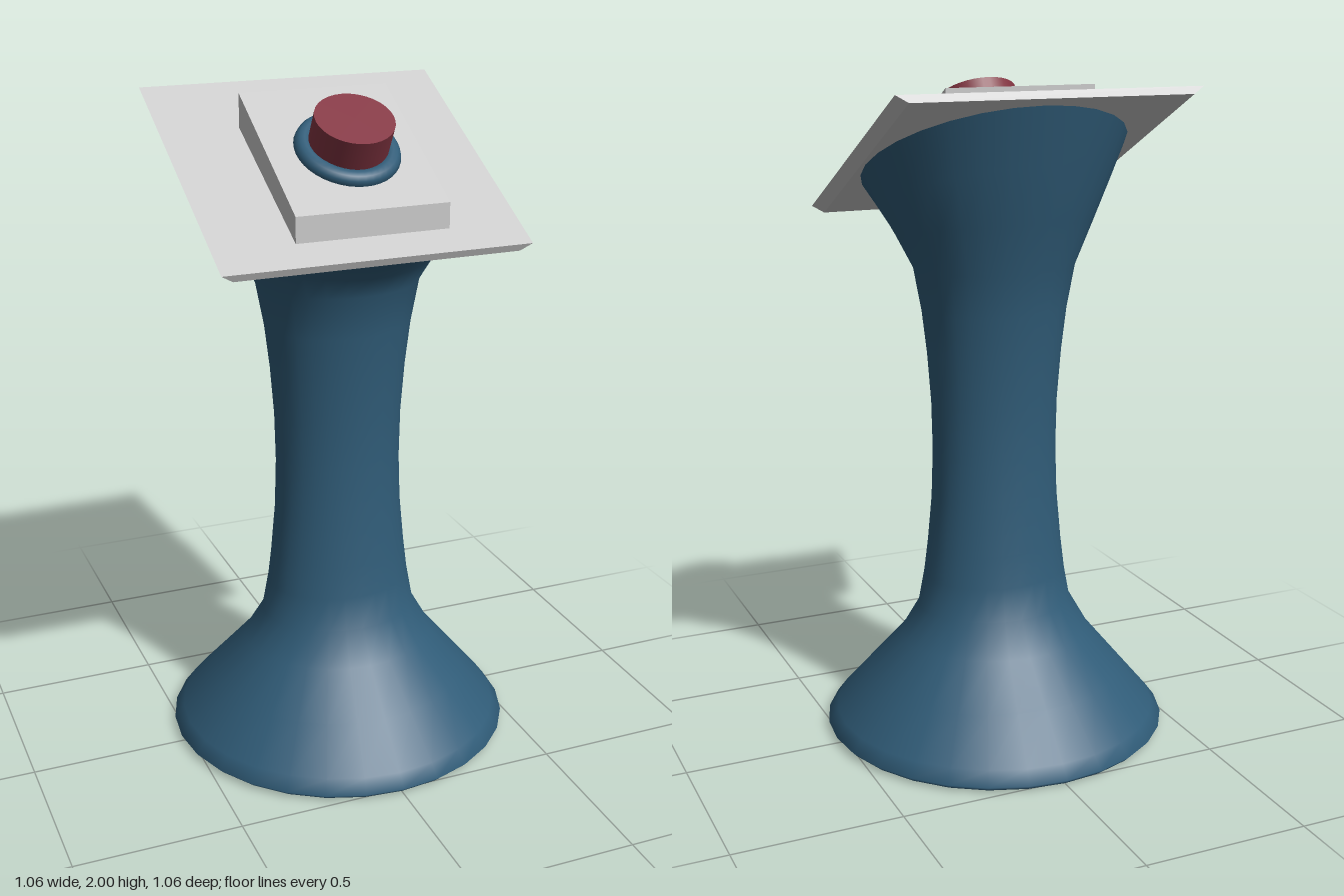
import * as THREE from 'three';

const BLUE = 0x305c78, RED = 0x833542, GREY = 0xcccccc;
const mat = (color, extra = {}) => new THREE.MeshStandardMaterial({ color, ...extra });

function part(group, name, geometry, material) {
  const mesh = new THREE.Mesh(geometry, material);
  mesh.name = name;
  group.add(mesh);
  return mesh;
}

// Unit box whose corners are moved by rule(x, y, z), each given as -1 or 1
function shapedBox(rule) {
  const g = new THREE.BoxGeometry(2, 2, 2);
  const p = g.attributes.position;
  for (let i = 0; i < p.count; i++) p.setXYZ(i, ...rule(p.getX(i), p.getY(i), p.getZ(i)));
  g.computeVertexNormals();
  return g;
}

// Smooth skin through elliptical rings [y, rx, rz, slope], slope raising the back
function loft(rings, sides) {
  const pos = [], idx = [];
  for (const [y, rx, rz, slope = 0] of rings) {
    for (let j = 0; j < sides; j++) {
      const a = (j / sides) * Math.PI * 2;
      const z = Math.cos(a) * rz;
      pos.push(Math.sin(a) * rx, y - slope * z, z);
    }
  }
  for (let i = 0; i < rings.length - 1; i++) {
    for (let j = 0; j < sides; j++) {
      const k = (j + 1) % sides;
      const a = i * sides + j, b = i * sides + k;
      idx.push(a, b, b + sides, a, b + sides, a + sides);
    }
  }
  const g = new THREE.BufferGeometry();
  g.setAttribute('position', new THREE.Float32BufferAttribute(pos, 3));
  g.setIndex(idx);
  g.computeVertexNormals();
  return g;
}

export function createModel() {
  const model = new THREE.Group();
  model.name = 'buttonPedestal';

  // Waisted column: wide foot, oval shaft, flared slanted head
  const rings = [
    [0.005, 0.515, 0.515], [0.02, 0.53, 0.53], [0.06, 0.5, 0.5],
    [0.18, 0.4, 0.385], [0.3, 0.3, 0.27], [0.4, 0.243, 0.207],
    [0.5, 0.225, 0.188], [0.6, 0.213, 0.175], [0.75, 0.199, 0.163],
    [0.9, 0.194, 0.158], [1.05, 0.197, 0.161], [1.2, 0.208, 0.173],
    [1.33, 0.223, 0.188], [1.46, 0.247, 0.21],
    [1.567, 0.298, 0.255, 0.17], [1.672, 0.35, 0.3, 0.34], [1.777, 0.4, 0.345, 0.51],
  ];
  part(model, 'column', loft(rings, 28), mat(BLUE));
  const sole = new THREE.CircleGeometry(0.515, 28).rotateX(Math.PI / 2);
  sole.translate(0, 0.003, 0);
  part(model, 'columnBase', sole, mat(BLUE));

  // Slanted plate, its side edges bevelled inward below
  part(model, 'topPlate', shapedBox((x, y, z) => [
    -0.015 + x * (y > 0 ? 0.46 : 0.425),
    1.801 - z * 0.189 - (y > 0 ? 0 : 0.021),
    -0.005 + z * 0.37 - (y > 0 ? 0 : 0.01),
  ]), mat(GREY));

  // Raised block with upright sides, taller toward the back
  part(model, 'buttonBlock', shapedBox((x, y, z) => [
    -0.005 + x * 0.23,
    y > 0 ? (z > 0 ? 1.73 : 1.99) : (z > 0 ? 1.65 : 1.885),
    z > 0 ? 0.28 : -0.178,
  ]), mat(GREY));

  // Button and its collar, square to the block's sloping face
  const button = new THREE.Group();
  button.name = 'button';
  button.position.set(0.003, 1.853, 0.066);
  button.rotation.x = Math.atan(0.26 / 0.458);
  model.add(button);

  const collar = new THREE.TorusGeometry(0.127, 0.028, 12, 40).rotateX(Math.PI / 2);
  part(button, 'buttonCollar', collar, mat(BLUE));
  const cap = new THREE.CylinderGeometry(0.117, 0.117, 0.13, 32).scale(1, 1, 0.93);
  cap.translate(0, 0.047, 0);
  part(button, 'buttonCap', cap, mat(RED));

  return model;
}
